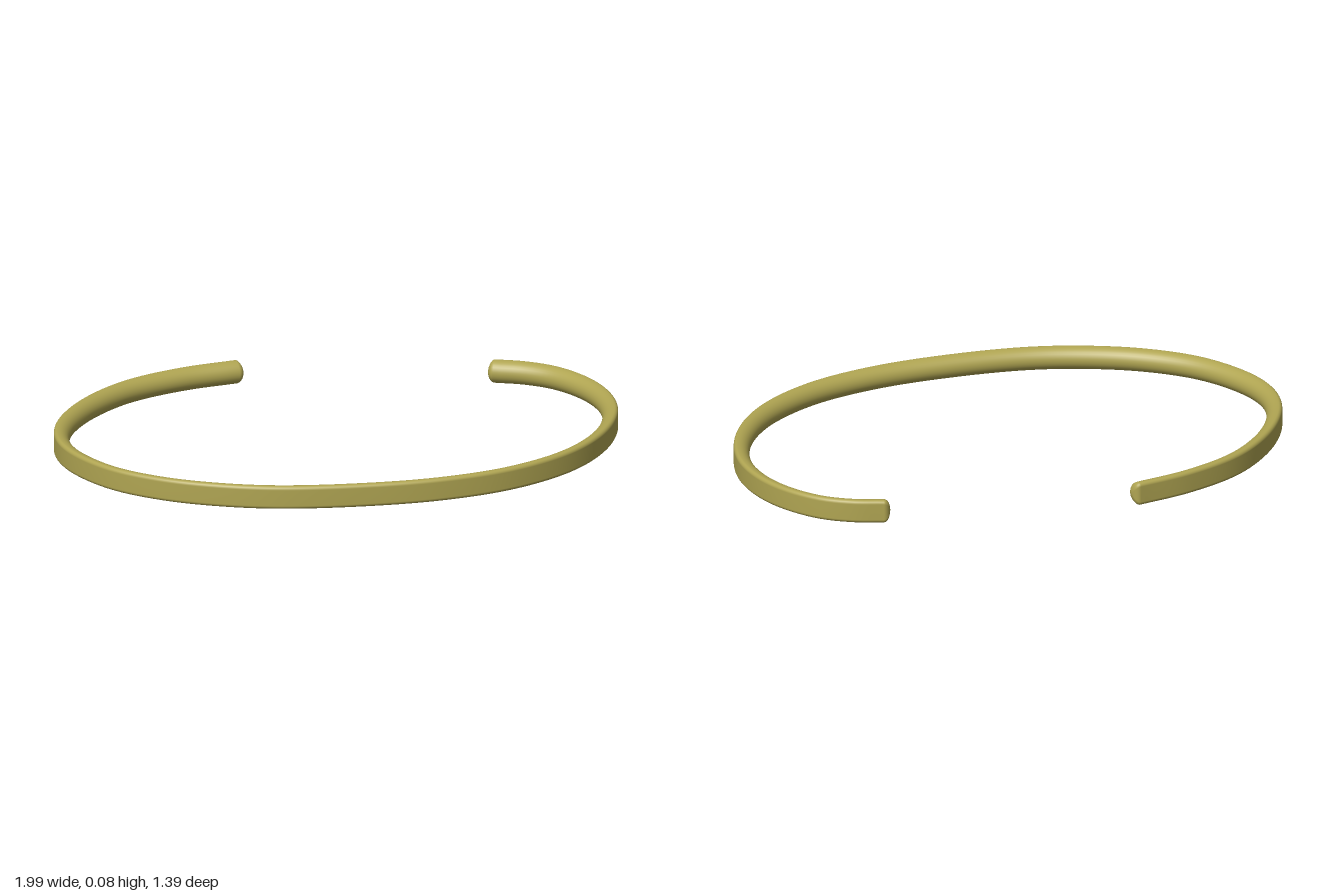
import * as THREE from 'three';

// Centre line of the open band, as [x, z], from the right end round the front to the left end
const PATH = [
  [-0.34, -0.672], [-0.53, -0.594], [-0.72, -0.466], [-0.86, -0.29], [-0.945, -0.1], [-0.97, 0.05],
  [-0.955, 0.18], [-0.9, 0.31], [-0.78, 0.462], [-0.61, 0.572], [-0.42, 0.637], [-0.22, 0.666],
  [0.06, 0.649], [0.35, 0.588], [0.6, 0.474], [0.8, 0.295], [0.92, 0.08], [0.965, -0.14],
  [0.945, -0.315], [0.88, -0.465], [0.775, -0.585], [0.67, -0.64], [0.566, -0.663],
];
const HALF_W = 0.028, HALF_H = 0.042, CAP = 0.022;

// D-shaped section: nearly flat outer face with small fillets, domed inner face
function sectionPoints() {
  const pts = [];
  const r = 0.013, crest = HALF_W - r;
  for (let i = 0; i <= 5; i++) {
    const a = (i / 5) * Math.PI / 2;
    pts.push([crest + r * Math.cos(a), HALF_H - r + r * Math.sin(a)]);
  }
  for (let i = 1; i < 16; i++) {
    const a = (i / 16) * Math.PI;
    pts.push([crest - (crest + HALF_W) * Math.sin(a), HALF_H * Math.cos(a)]);
  }
  for (let i = 0; i <= 5; i++) {
    const a = (i / 5 - 1) * Math.PI / 2;
    pts.push([crest + r * Math.cos(a), r - HALF_H + r * Math.sin(a)]);
  }
  return pts;
}

function bandGeometry() {
  const curve = new THREE.CatmullRomCurve3(PATH.map(([x, z]) => new THREE.Vector3(x, HALF_H, z)));
  curve.arcLengthDivisions = 800;
  const section = sectionPoints(), n = section.length;

  // Rings along the path, with shrinking rings that round off both ends
  const rings = [], capSteps = 7, steps = 180;
  for (let i = capSteps; i > 0; i--) {
    const a = (i / capSteps) * Math.PI / 2;
    rings.push([0, -CAP * Math.sin(a), Math.max(Math.cos(a), 0.001)]);
  }
  for (let i = 0; i <= steps; i++) rings.push([i / steps, 0, 1]);
  for (let i = 1; i <= capSteps; i++) {
    const a = (i / capSteps) * Math.PI / 2;
    rings.push([1, CAP * Math.sin(a), Math.max(Math.cos(a), 0.001)]);
  }

  const position = [], index = [];
  rings.forEach(([u, shift, scale], j) => {
    const t = curve.getTangentAt(u);
    const p = curve.getPointAt(u).addScaledVector(t, shift);
    for (const [w, h] of section) {
      position.push(p.x - t.z * w * scale, p.y + h * scale, p.z + t.x * w * scale);
    }
    if (j === 0) return;
    for (let k = 0; k < n; k++) {
      const a = (j - 1) * n + k, b = (j - 1) * n + (k + 1) % n;
      index.push(a, a + n, b, b, a + n, b + n);
    }
  });
  const geometry = new THREE.BufferGeometry();
  geometry.setAttribute('position', new THREE.Float32BufferAttribute(position, 3));
  geometry.setIndex(index);
  geometry.computeVertexNormals();
  return geometry;
}

export function createModel() {
  const gold = new THREE.MeshStandardMaterial({ color: 0xb0a552 });
  gold.name = 'old gold';
  const band = new THREE.Mesh(bandGeometry(), gold);
  band.name = 'openBand';
  const group = new THREE.Group();
  group.name = 'openBangle';
  group.add(band);
  return group;
}
